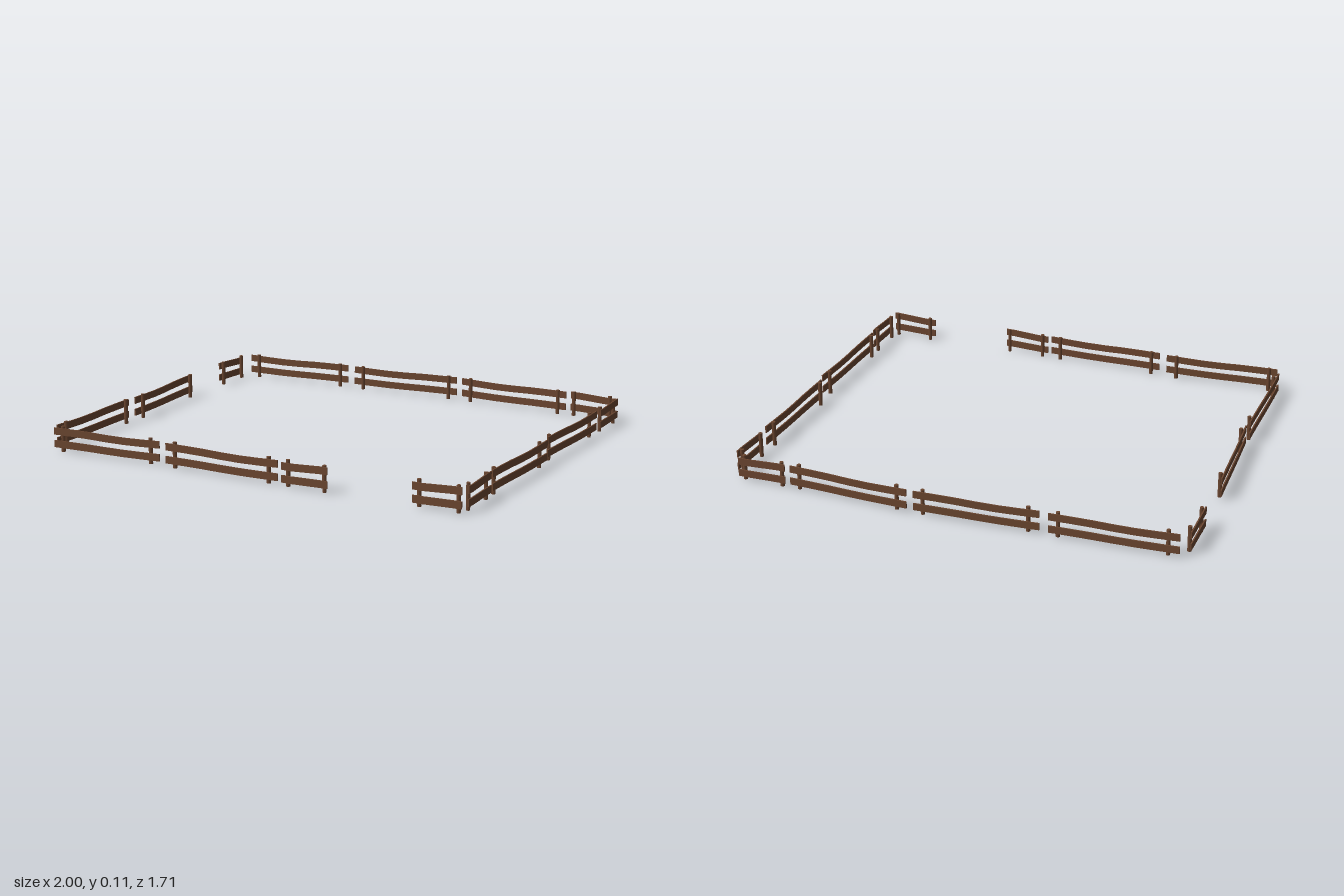
import * as THREE from 'three';

const wood = new THREE.MeshStandardMaterial({ color: 0x6b4630 });
wood.name = 'brown wood';

// Fence runs, counter-clockwise so local +z faces outward: [x1, z1, x2, z2]
const SIDES = {
  front: { drop: 0.004, runs: [
    [-0.97, 0.821, -0.443, 0.808], [-0.405, 0.818, 0.14, 0.835],
    [0.158, 0.836, 0.372, 0.846], [0.745, 0.843, 0.96, 0.851],
  ] },
  left: { drop: 0, runs: [
    [0.97, 0.813, 0.972, 0.603], [0.967, 0.577, 0.985, 0.047],
    [0.97, 0.002, 0.99, -0.523], [0.992, -0.568, 0.996, -0.778],
  ] },
  back: { drop: 0.004, runs: [
    [0.975, -0.813, 0.755, -0.821], [0.733, -0.816, 0.193, -0.849],
    [0.162, -0.851, -0.378, -0.838], [-0.418, -0.843, -0.96, -0.833],
  ] },
  right: { drop: 0.004, runs: [
    [-0.993, -0.79, -0.997, -0.58], [-0.995, -0.322, -0.972, 0.2],
    [-0.98, 0.242, -0.985, 0.78],
  ] },
};

// Height wobble along a rail, from its start to its end
const LONG_WAVE = [0.002, 0.002, 0.001, -0.002, -0.003, -0.001, 0.002];
const SHORT_WAVE = [-0.003, -0.004, -0.002, 0, 0.002, 0.004, 0.004];

// Plank bent up and down by the wobble
function railGeometry(length, wave, strength) {
  const n = wave.length - 1;
  const g = new THREE.BoxGeometry(length, 0.031, 0.006, n, 1, 1);
  const p = g.attributes.position;
  for (let i = 0; i < p.count; i++) {
    const k = Math.round((p.getX(i) / length + 0.5) * n);
    p.setY(i, p.getY(i) + wave[k] * strength);
  }
  g.computeVertexNormals();
  return g;
}

function fenceSection([x1, z1, x2, z2], drop) {
  const section = new THREE.Group();
  const dx = x2 - x1, dz = z2 - z1;
  const length = Math.hypot(dx, dz);
  const isLong = length > 0.4;

  // Two rails, the lower one straighter
  for (const [name, y, strength] of [['lowerRail', 0.037, 0.5], ['upperRail', 0.092, 1]]) {
    const geo = railGeometry(length, isLong ? LONG_WAVE : SHORT_WAVE, strength);
    const rail = new THREE.Mesh(geo, wood);
    rail.name = name;
    rail.position.y = y - drop;
    section.add(rail);
  }

  // Two posts on the inner side
  const postGeo = new THREE.CylinderGeometry(0.009, 0.009, 0.112, 8);
  const ends = isLong ? [0.037, length - 0.05] : [0.024, length - 0.02];
  ends.forEach((d, i) => {
    const post = new THREE.Mesh(postGeo, wood);
    post.name = i ? 'endPost' : 'startPost';
    post.position.set(d - length / 2, 0.056, -0.012);
    section.add(post);
  });

  section.position.set((x1 + x2) / 2, 0, (z1 + z2) / 2);
  section.rotation.y = Math.atan2(-dz, dx);
  return section;
}

export function createModel() {
  const model = new THREE.Group();
  model.name = 'paddockFence';
  for (const [side, { drop, runs }] of Object.entries(SIDES)) {
    runs.forEach((run, i) => {
      const section = fenceSection(run, drop);
      section.name = `${side}Section${i + 1}`;
      model.add(section);
    });
  }
  return model;
}
